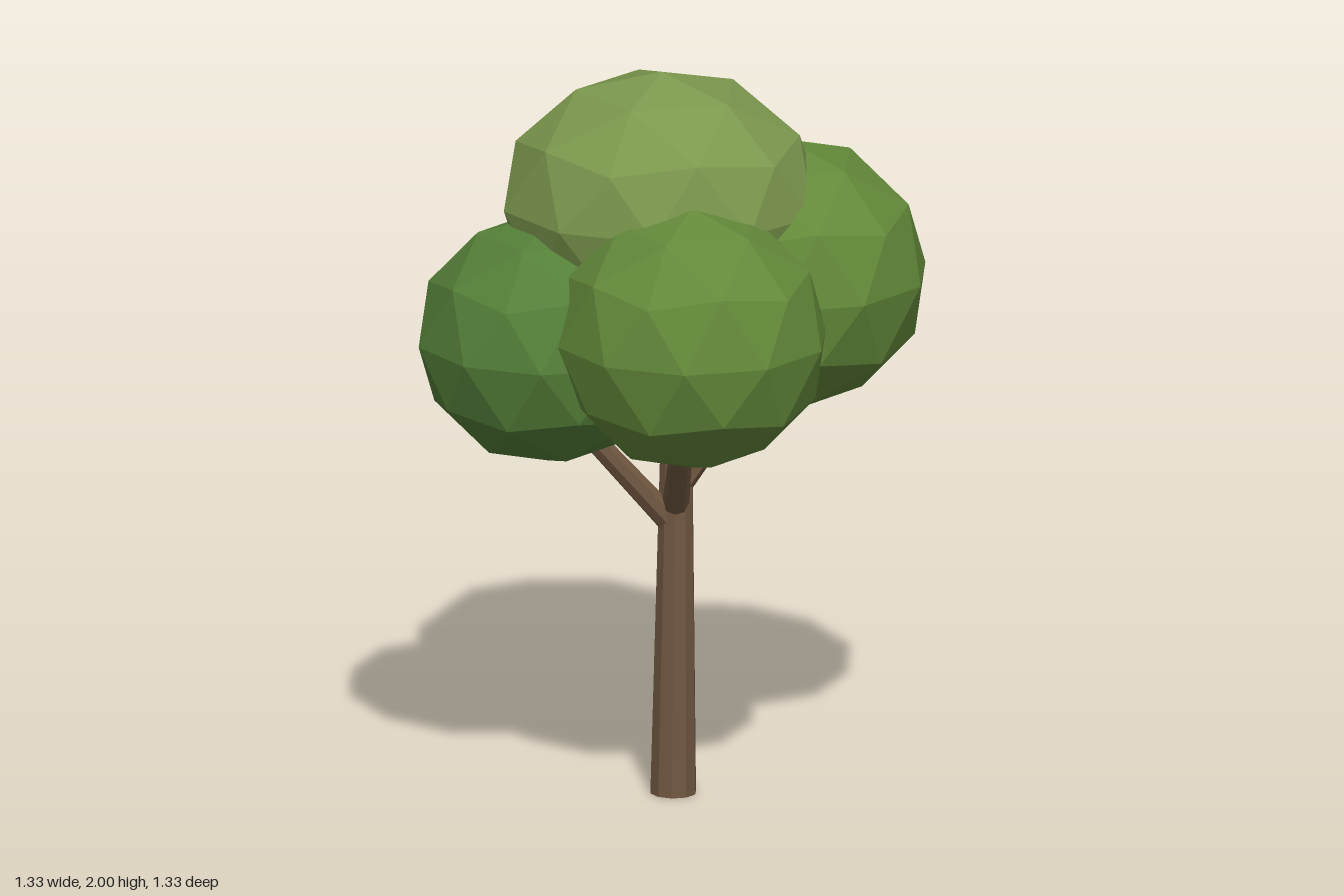
import * as THREE from 'three';

const bark = new THREE.MeshStandardMaterial({ color: 0x705741, flatShading: true });
const leafMaterial = (color) => new THREE.MeshStandardMaterial({ color, flatShading: true });

// Tapered limb running from one point to another
function limb(name, from, to, r0, r1, sides) {
  const a = new THREE.Vector3(...from);
  const b = new THREE.Vector3(...to);
  const dir = b.clone().sub(a);
  const mesh = new THREE.Mesh(new THREE.CylinderGeometry(r1, r0, dir.length(), sides), bark);
  mesh.name = name;
  mesh.position.copy(a).add(b).multiplyScalar(0.5);
  mesh.quaternion.setFromUnitVectors(new THREE.Vector3(0, 1, 0), dir.normalize());
  return mesh;
}

// Faceted leaf clump: an icosphere turned so a corner points straight up
function clump(name, center, radii, color) {
  const geometry = new THREE.IcosahedronGeometry(1, 1);
  geometry.rotateZ(Math.atan(2 / (1 + Math.sqrt(5))));
  geometry.scale(...radii);
  geometry.computeVertexNormals();
  const mesh = new THREE.Mesh(geometry, leafMaterial(color));
  mesh.name = name;
  mesh.position.set(...center);
  return mesh;
}

export function createModel() {
  const tree = new THREE.Group();
  tree.name = 'tree';

  // Trunk, reaching up into the crown
  tree.add(limb('trunk', [0.003, 0, 0], [0.015, 1.4, -0.005], 0.063, 0.036, 10));

  // Branches, each ending inside its clump
  const branches = [
    ['rightBranch', [0.0, 0.75, 0], [-0.29, 1.1, 0.09]],
    ['frontBranch', [0.01, 0.8, 0.01], [0.05, 1.14, 0.3]],
    ['leftBranch', [0.02, 0.86, 0], [0.26, 1.19, -0.08]],
    ['backBranch', [0.01, 0.9, -0.01], [-0.05, 1.22, -0.25]],
  ];
  for (const [name, from, to] of branches) tree.add(limb(name, from, to, 0.036, 0.027, 8));

  // Leaf clumps
  const clumps = [
    ['topLeaves', [-0.03, 1.64, -0.02], [0.435, 0.36, 0.39], 0x7b974d],
    ['frontLeaves', [0.07, 1.36, 0.31], [0.37, 0.362, 0.355], 0x63893a],
    ['rightLeaves', [-0.325, 1.29, 0.1], [0.358, 0.342, 0.35], 0x547f38],
    ['leftLeaves', [0.3, 1.42, -0.11], [0.383, 0.37, 0.375], 0x63893a],
    ['backLeaves', [-0.07, 1.46, -0.3], [0.375, 0.37, 0.365], 0x547f38],
  ];
  for (const c of clumps) tree.add(clump(...c));

  return tree;
}
